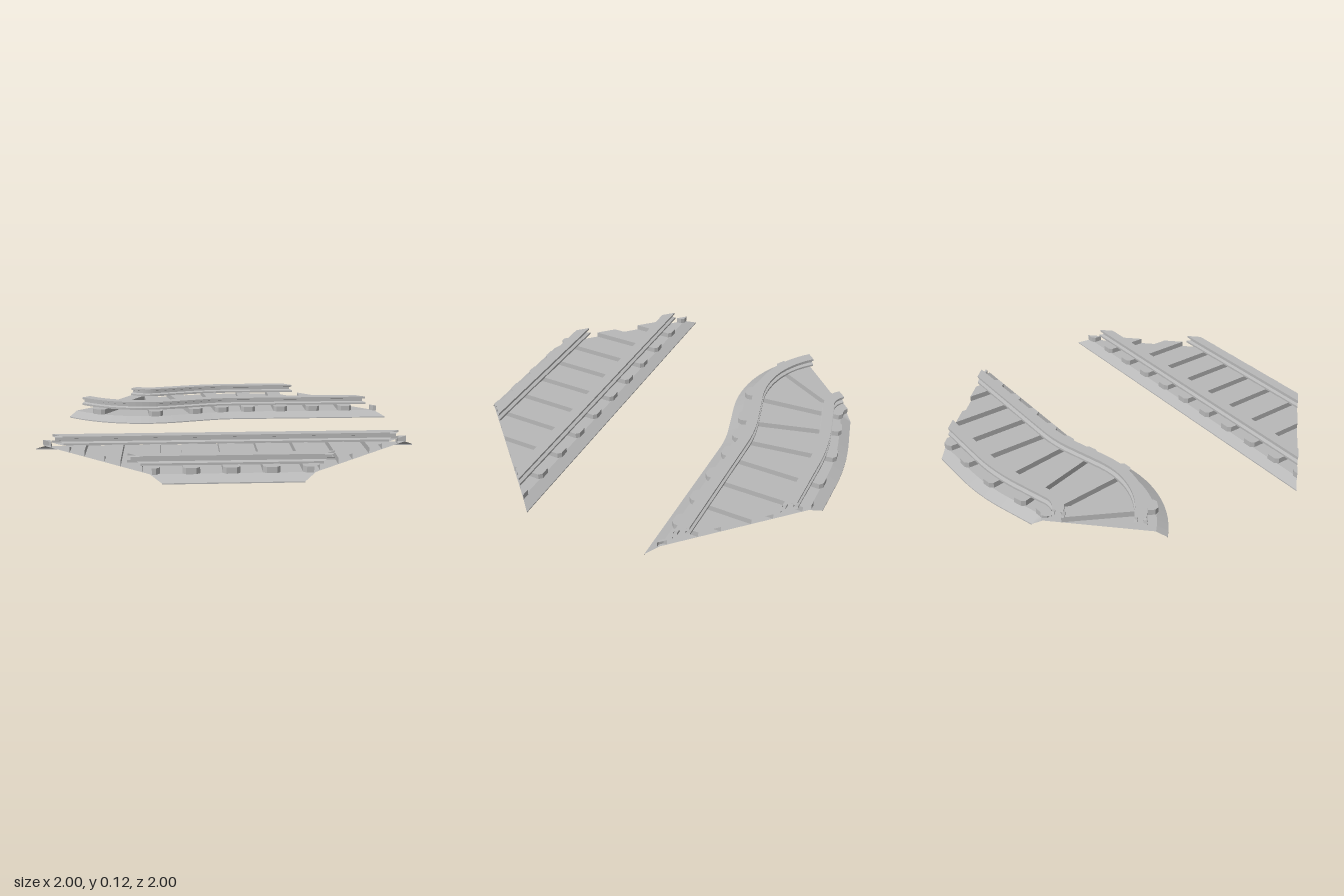
import * as THREE from 'three';
import { mergeGeometries } from 'three/addons/utils/BufferGeometryUtils.js';

const HALF = 0.354;         // half width of the ballast bed
const GAUGE = 0.213;        // rail offset from the centre line
const UP = new THREE.Vector3(0, 1, 0);
const LIMIT = 1.00001;      // the tile is cut off square at +-1

// Cuts a triangle geometry to the square tile
function clipToTile(geo) {
  const src = (geo.index ? geo.toNonIndexed() : geo).attributes.position;
  const planes = [['x', 1], ['x', -1], ['z', 1], ['z', -1]];
  const out = [];
  for (let i = 0; i < src.count; i += 3) {
    let poly = [0, 1, 2].map(k => new THREE.Vector3().fromBufferAttribute(src, i + k));
    for (const [axis, sign] of planes) {
      const next = [];
      poly.forEach((a, k) => {
        const b = poly[(k + 1) % poly.length];
        const da = LIMIT - sign * a[axis], db = LIMIT - sign * b[axis];
        if (da >= 0) next.push(a);
        if (da * db < 0) next.push(a.clone().lerp(b, da / (da - db)));
      });
      poly = next;
    }
    for (let k = 1; k + 1 < poly.length; k++) {
      for (const v of [poly[0], poly[k], poly[k + 1]]) out.push(v.x, v.y, v.z);
    }
  }
  const result = new THREE.BufferGeometry();
  result.setAttribute('position', new THREE.Float32BufferAttribute(out, 3));
  result.computeVertexNormals();
  return result;
}

// A path is a list of [length, turn in radians]; gives position and heading at s
function makePath(x0, z0, heading0, pieces) {
  return s => {
    let x = x0, z = z0, h = heading0, left = s;
    pieces.forEach(([length, turn], i) => {
      const last = i === pieces.length - 1;
      const run = last ? left : Math.min(left, length);
      const delta = turn * run / length;
      const chord = delta ? run * Math.sin(delta / 2) / (delta / 2) : run;
      x += chord * Math.sin(h + delta / 2);
      z += chord * Math.cos(h + delta / 2);
      h += delta;
      left -= run;
    });
    return {
      p: new THREE.Vector3(x, 0, z),
      t: new THREE.Vector3(Math.sin(h), 0, Math.cos(h)),
      n: new THREE.Vector3(-Math.cos(h), 0, Math.sin(h)),
    };
  };
}

// Sweeps a profile of [offset, height] points along a path
function sweep(path, from, to, steps, profile) {
  const pos = [];
  const ring = i => {
    const f = path(from + (to - from) * i / steps);
    return profile.map(([d, y]) => f.p.clone().addScaledVector(f.n, d).setY(y));
  };
  for (let i = 0; i < steps; i++) {
    const a = ring(i), b = ring(i + 1);
    for (let j = 0; j + 1 < profile.length; j++) {
      for (const v of [a[j], a[j + 1], b[j], a[j + 1], b[j + 1], b[j]]) pos.push(v.x, v.y, v.z);
    }
  }
  const geo = new THREE.BufferGeometry();
  geo.setAttribute('position', new THREE.Float32BufferAttribute(pos, 3));
  return clipToTile(geo);
}

// Sleeper with cut corners, lying across the track
function sleeperGeometry() {
  const l = 0.305, w = 0.044, c = 0.018;
  const shape = new THREE.Shape([
    [-l, -w + c], [-l + c, -w], [l - c, -w], [l, -w + c],
    [l, w - c], [l - c, w], [-l + c, w], [-l, w - c],
  ].map(([x, y]) => new THREE.Vector2(x, y)));
  return new THREE.ExtrudeGeometry(shape, { depth: 0.032, bevelEnabled: false });
}

function buildTrack(name, path, from, to, steps, firstSleeper, pitch, material) {
  const track = new THREE.Group();
  track.name = name;
  const add = (part, geo) => {
    const mesh = new THREE.Mesh(geo, material);
    mesh.name = part;
    track.add(mesh);
  };

  // Ballast: an open shell with sloping shoulders
  const flat = HALF - 0.06;
  add('ballastBed', sweep(path, from, to, steps,
    [[-HALF, 0], [-HALF, 0.006], [-flat, 0.036], [flat, 0.036], [HALF, 0.006], [HALF, 0]]));

  // Rails: foot, web and head
  const half = [[0.035, 0.066], [0.035, 0.078], [0.016, 0.084], [0.016, 0.099], [0.031, 0.103], [0.031, 0.115]];
  const section = [...half.map(([d, y]) => [-d, y]), ...[...half].reverse(), [-0.035, 0.066]];
  for (const [part, side] of [['leftRail', -1], ['rightRail', 1]]) {
    add(part, sweep(path, from, to, steps, section.map(([d, y]) => [d + side * GAUGE, y])));
  }

  // Sleepers
  const sleepers = [];
  for (let s = firstSleeper; s < to; s += pitch) {
    const f = path(s);
    const m = new THREE.Matrix4().makeBasis(f.n, f.t, UP).setPosition(f.p.setY(0.036));
    sleepers.push(clipToTile(sleeperGeometry().applyMatrix4(m)));
  }
  add('sleepers', mergeGeometries(sleepers.filter(g => g.attributes.position.count > 0)));
  return track;
}

export function createModel() {
  const model = new THREE.Group();
  model.name = 'railTrackTile';
  const grey = new THREE.MeshStandardMaterial({ color: 0xb8b8b8, side: THREE.DoubleSide });
  grey.name = 'grey';

  // Straight track crossing one corner of the tile
  const straight = makePath(-1, 0, Math.PI / 4, [[1, 0]]);
  model.add(buildTrack('straightTrack', straight, -0.4, 1.82, 1, -0.3, 0.2, grey));

  // Curved track: tight bend, short straight, easing back to the diagonal
  const curved = makePath(0, -1, 0, [
    [HALF * Math.PI / 3, Math.PI / 3],
    [0.217, 0],
    [0.277, -Math.PI / 12],
    [1, 0],
  ]);
  model.add(buildTrack('curvedTrack', curved, 0, 1.86, 72, 0.1, 0.208, grey));
  return model;
}
